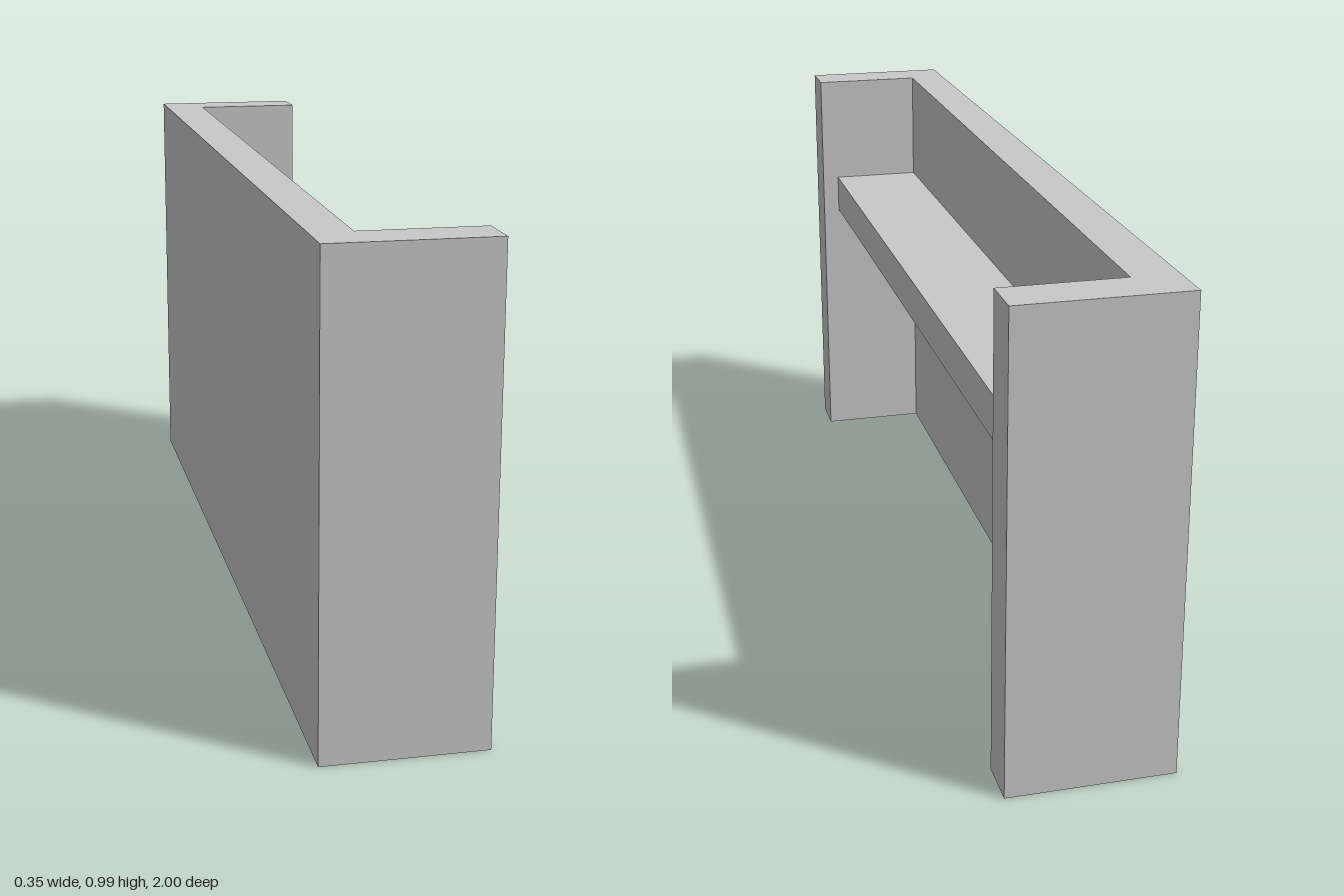
import * as THREE from 'three';

export function createModel() {
  const group = new THREE.Group();
  const grey = new THREE.MeshStandardMaterial({ color: 0xc8c8c8 });
  grey.name = 'plain grey';

  // U-shaped plan of the back panel and two end panels, as [x, z];
  // the outer back face is slightly out of square
  const plan = [
    [-0.163, 1], [0.172, 1], [0.172, 0.9], [-0.08, 0.9],
    [-0.08, -0.9], [0.172, -0.9], [0.172, -1], [-0.175, -1],
  ];
  const shape = new THREE.Shape(plan.map(([x, z]) => new THREE.Vector2(x, -z)));
  const frameGeometry = new THREE.ExtrudeGeometry(shape, { depth: 0.988, bevelEnabled: false });
  frameGeometry.rotateX(-Math.PI / 2);
  const frame = new THREE.Mesh(frameGeometry, grey);
  frame.name = 'backAndEndPanels';
  group.add(frame);

  // Shelf spanning between the end panels
  const shelf = new THREE.Mesh(new THREE.BoxGeometry(0.212, 0.092, 1.8), grey);
  shelf.name = 'shelf';
  shelf.position.set(0.026, 0.678, 0);
  group.add(shelf);

  return group;
}
